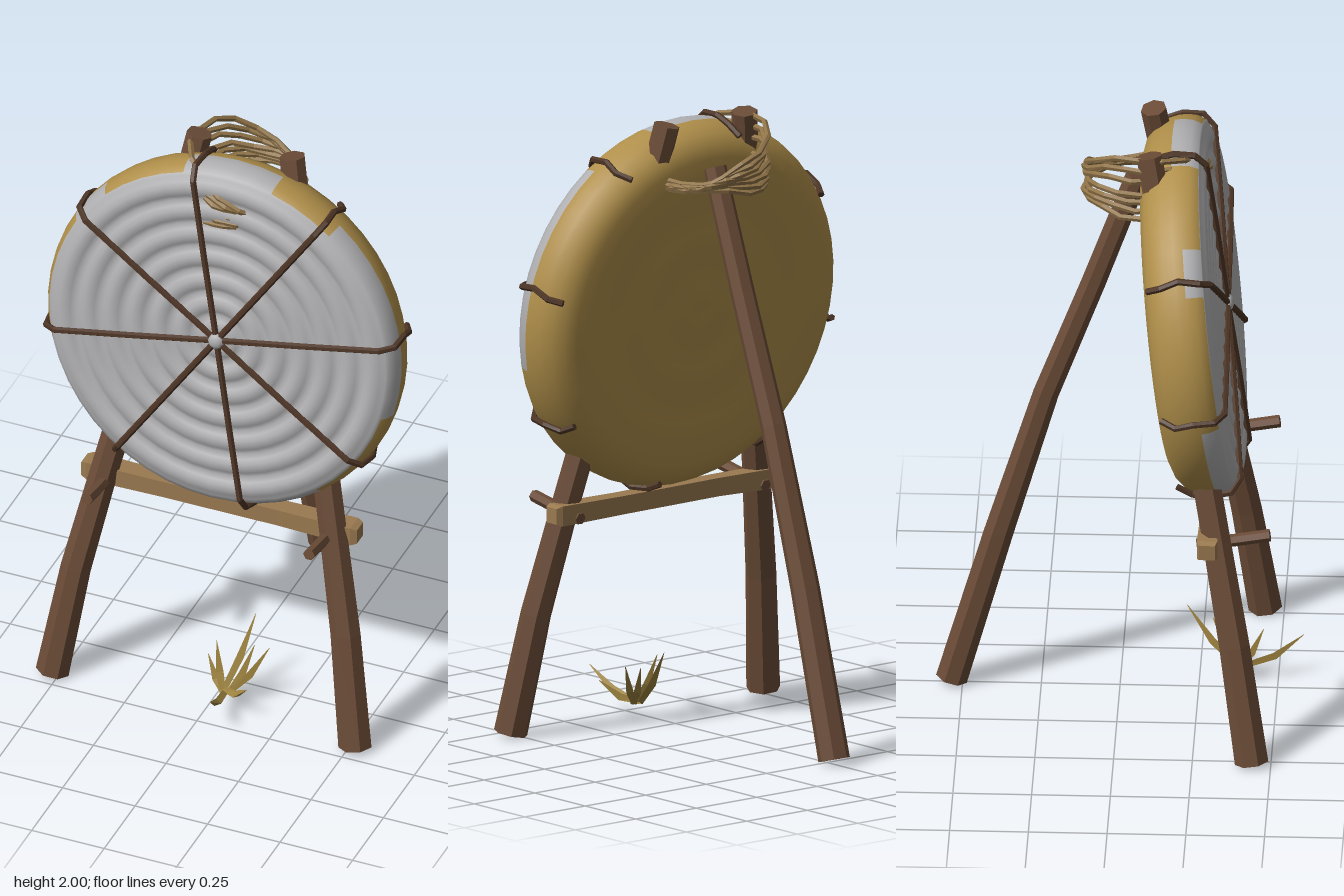
import * as THREE from 'three';

const V = (x, y, z) => new THREE.Vector3(x, y, z);
const mat = (name, color) => {
  const m = new THREE.MeshStandardMaterial({ color });
  m.name = name;
  return m;
};

// Faceted, capped rod swept through points; radii may vary along it
function rod(points, radii, sides, ref, spin = 0) {
  const pos = [], idx = [], n = points.length;
  points.forEach((p, i) => {
    const t = points[Math.min(i + 1, n - 1)].clone().sub(points[Math.max(i - 1, 0)]).normalize();
    const v = t.clone().cross(ref).normalize(), u = v.clone().cross(t);
    const r = Array.isArray(radii) ? radii[i] : radii;
    for (let j = 0; j < sides; j++) {
      const a = spin + j / sides * Math.PI * 2;
      const q = p.clone().addScaledVector(u, r * Math.cos(a)).addScaledVector(v, r * Math.sin(a));
      pos.push(q.x, q.y, q.z);
    }
  });
  // u x v points against the path, so faces wind the other way round
  const flip = points[0].clone().sub(points[1]).dot(crossAt(points, ref)) > 0;
  const tri = (a, b, c) => (flip ? idx.push(a, c, b) : idx.push(a, b, c));
  for (let i = 0; i < n - 1; i++) for (let j = 0; j < sides; j++) {
    const k = (j + 1) % sides, a = i * sides + j, b = i * sides + k;
    tri(a, b, a + sides);
    tri(b, b + sides, a + sides);
  }
  for (let j = 1; j < sides - 1; j++) {
    const e = (n - 1) * sides;
    tri(0, j + 1, j);
    tri(e, e + j, e + j + 1);
  }
  let g = new THREE.BufferGeometry();
  g.setAttribute('position', new THREE.Float32BufferAttribute(pos, 3));
  g.setIndex(idx);
  g = g.toNonIndexed();
  g.computeVertexNormals();
  return g;
}
function crossAt(points, ref) {
  const t = points[1].clone().sub(points[0]).normalize();
  const v = t.clone().cross(ref).normalize(), u = v.clone().cross(t);
  return u.cross(v);
}

export function createModel() {
  const root = new THREE.Group();
  root.name = 'archeryTarget';
  const wood = mat('brown wood', 0x6b4c37);
  const paleWood = mat('pale wood', 0x9a7a50);
  const darkCord = mat('dark cord', 0x4d3525);
  const straw = mat('straw', 0xb08f4a);
  const grey = mat('grey face', 0xb0b0b2);
  const twine = mat('twine', 0x8f7348);
  const grass = mat('dry grass', 0xa08540);
  const X = V(1, 0, 0), Y = V(0, 1, 0);
  const add = (parent, name, geo, m) => {
    const mesh = new THREE.Mesh(geo, m);
    mesh.name = name;
    parent.add(mesh);
    return mesh;
  };

  // Round target, tilted back
  const disc = new THREE.Group();
  disc.name = 'target';
  disc.position.set(0, 1.372, 0.225);
  disc.rotation.x = -0.115;
  root.add(disc);

  // Profile from back centre, round the rim, to front centre
  const P = (r, h) => new THREE.Vector2(r, h);
  const profile = [P(0, -0.1)];
  for (let i = 1; i <= 12; i++) profile.push(P(i * 0.038, -0.1 - 0.004 * Math.sin(i * 1.3)));
  profile.push(P(0.51, -0.1), P(0.55, -0.085), P(0.58, -0.06), P(0.598, -0.025));
  const band = profile.length;
  profile.push(P(0.606, 0.01), P(0.606, 0.04), P(0.6, 0.07), P(0.585, 0.095));
  const rings = 7, step = 0.082;
  for (let k = rings; k > 0; k--) for (let s = 0; s < 5; s++) {
    profile.push(P(k * step - s * step / 5, 0.097 + 0.018 * Math.sin(s / 5 * Math.PI)));
  }
  profile.push(P(0, 0.1));

  // Painted depth over the rim, by angle from the bottom towards +x
  const depth = [[30, 2], [38, 1], [78, 0], [142, 2], [165, 0], [197, 3], [222, 0],
    [240, 2], [282, 0], [335, 2], [360, 1]];
  const seg = 48, rows = profile.length - 1;
  const lathe = new THREE.LatheGeometry(profile, seg);
  const src = lathe.index.array, painted = [], bare = [];
  for (let i = 0; i < seg; i++) {
    const deg = (i + 0.5) * 360 / seg;
    const d = depth.find(e => deg < e[0])[1];
    for (let j = 0; j < rows; j++) {
      const o = (i * rows + j) * 6;
      (j >= band + 3 - d ? painted : bare).push(...src.slice(o, o + 6));
    }
  }
  lathe.setIndex([...painted, ...bare]);
  lathe.addGroup(0, painted.length, 0);
  lathe.addGroup(painted.length, bare.length, 1);
  lathe.rotateX(Math.PI / 2);
  add(disc, 'strawDisc', lathe, [grey, straw]);

  // Eight cords from the hub, wrapping over the rim
  const cordPath = [[0.02, 0.117], [0.3, 0.119], [0.565, 0.117], [0.606, 0.085],
    [0.614, 0.02], [0.602, -0.04], [0.575, -0.085]];
  for (let i = 0; i < 8; i++) {
    const a = (11 + i * 45) * Math.PI / 180, c = Math.cos(a), s = Math.sin(a);
    const pts = cordPath.map(([r, h], j) => {
      const w = j > 3 ? 0.012 * Math.sin(j * 2 + i) : 0;
      return V(r * c - w * s, r * s + w * c, h);
    });
    add(disc, 'cord', rod(pts, 0.011, 6, V(-s, c, 0)), darkCord);
  }
  const hub = new THREE.SphereGeometry(0.027, 12, 8);
  hub.scale(1, 1, 0.6);
  hub.translate(0, 0, 0.121);
  add(disc, 'hub', hub, grey);

  // Front legs with pegs, mirrored
  for (const s of [-1, 1]) {
    const leg = [V(s * 0.522, 0.012, 0.44), V(s * 0.465, 0.4, 0.383), V(s * 0.395, 0.75, 0.322),
      V(s * 0.3, 1.2, 0.24), V(s * 0.16, 1.993, 0.1)];
    add(root, 'frontLeg', rod(leg, [0.055, 0.05, 0.046, 0.045, 0.042], 7, X), wood);
    add(root, 'peg', rod([V(s * 0.383, 0.718, 0.26), V(s * 0.383, 0.735, 0.38), V(s * 0.383, 0.755, 0.492)],
      0.02, 6, X), wood);
  }

  // Rear leg
  add(root, 'rearLeg', rod([V(0, 0.016, -0.535), V(-0.005, 0.55, -0.385), V(0, 1.05, -0.235),
    V(0, 1.45, -0.085), V(0, 1.84, 0.055)], [0.052, 0.048, 0.042, 0.04, 0.038], 7, X), wood);

  // Crossbar with slightly bevelled ends
  add(root, 'crossbar', rod([V(-0.475, 0.735, 0.295), V(-0.455, 0.735, 0.295), V(-0.2, 0.738, 0.298),
    V(0.2, 0.736, 0.294), V(0.455, 0.735, 0.295), V(0.475, 0.735, 0.295)],
    [0.036, 0.046, 0.042, 0.042, 0.046, 0.036], 4, Y, Math.PI / 4), paleWood);

  // Twine lashing looped round the top, some strands slung over one post
  for (let k = 0; k < 7; k++) {
    const tilt = k > 3 ? 0.06 + 0.02 * (k - 4) : 0.012 * (k - 1);
    const pts = [];
    for (let i = 0; i <= 16; i++) {
      const a = i / 16 * Math.PI * 2 + k * 0.15;
      const w = 1 + 0.035 * Math.sin(k * 2.1 + i * 1.7);
      pts.push(V(0.178 * w * Math.cos(a), 1.79 + 0.016 * k - tilt * Math.cos(a) + 0.006 * Math.sin(i * 2 + k),
        0.085 + 0.195 * w * Math.sin(a)));
    }
    add(root, 'twineStrand', rod(pts, 0.01, 5, Y), twine);
  }

  // Grass tuft: blade tips fanning from one root
  const tips = [[0.08, 0.15, 0.58], [0.165, 0.2, 0.3], [0.08, 0.25, 0.21], [-0.02, 0.165, 0.36],
    [0.11, 0.19, 0.29], [0.15, 0.13, 0.45], [0.0, 0.21, 0.34]];
  tips.forEach(([x, y, z], i) => {
    const base = V(0.05 + 0.012 * Math.sin(i * 2), 0.055, 0.385 + 0.012 * Math.cos(i * 2));
    const tip = V(x, y, z);
    const mid = base.clone().lerp(tip, 0.5);
    mid.y -= 0.02;
    add(root, 'grassBlade', rod([base, mid, tip], [0.011, 0.014, 0.001], 3, X), grass);
  });
  return root;
}
